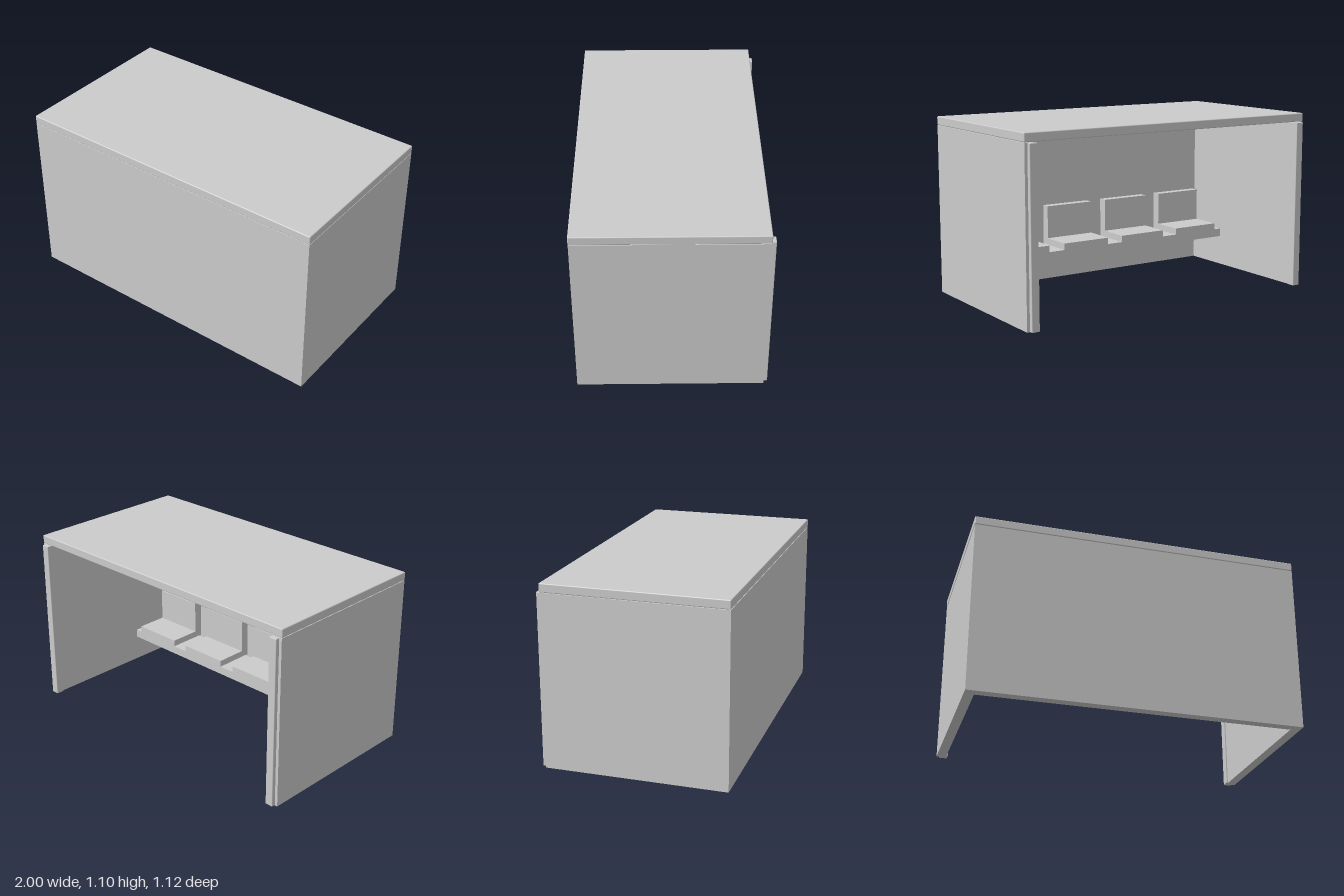
import * as THREE from 'three';
import { RoundedBoxGeometry } from 'three/addons/geometries/RoundedBoxGeometry.js';

const material = new THREE.MeshStandardMaterial({ color: 0xcccccc });

// Box given by its limits on each axis, with an optional softened edge
function box(name, [x0, x1], [y0, y1], [z0, z1], radius = 0) {
  const size = [x1 - x0, y1 - y0, z1 - z0];
  const geometry = radius
    ? new RoundedBoxGeometry(...size, 2, radius)
    : new THREE.BoxGeometry(...size);
  const mesh = new THREE.Mesh(geometry, material);
  mesh.name = name;
  mesh.position.set((x0 + x1) / 2, (y0 + y1) / 2, (z0 + z1) / 2);
  return mesh;
}

// L-shaped seat: the side profile (z, y) is extruded across the width
function seat(centre, width) {
  const profile = new THREE.Shape([
    [0.10, 0.272], [0.355, 0.272], [0.355, 0.52], [0.30, 0.52], [0.30, 0.315], [0.10, 0.315],
  ].map(([z, y]) => new THREE.Vector2(-z, y)));
  const geometry = new THREE.ExtrudeGeometry(profile, { depth: width, bevelEnabled: false });
  geometry.translate(0, 0, -width / 2);
  geometry.rotateY(Math.PI / 2); // profile -z axis becomes +z, depth becomes x
  const mesh = new THREE.Mesh(geometry, material);
  mesh.name = 'seat';
  mesh.position.x = centre;
  return mesh;
}

export function createModel() {
  const model = new THREE.Group();
  model.name = 'shelter';

  // Roof slab and closed front wall
  model.add(box('roof', [-1, 1], [1.05, 1.103], [-0.533, 0.558], 0.006));
  model.add(box('frontWall', [-0.998, 0.998], [0, 1.048], [0.5, 0.557]));

  // Side walls and the posts at the open back
  for (const side of [-1, 1]) {
    const span = (a, b) => [Math.min(side * a, side * b), Math.max(side * a, side * b)];
    const label = side > 0 ? 'left' : 'right';
    model.add(box(label + 'Wall', span(0.94, 0.998), [0, 1.048], [-0.533, 0.5]));
    model.add(box(label + 'Post', span(0.93, 0.98), [0, 1.047], [-0.557, -0.505], 0.004));
  }

  // Bench plank carrying four seats
  const bench = new THREE.Group();
  bench.name = 'bench';
  bench.add(box('benchPlank', [-0.855, 0.855], [0.222, 0.274], [0.1, 0.335]));
  for (let i = 0; i < 4; i++) bench.add(seat((i - 1.5) * 0.43, 0.325));
  model.add(bench);

  return model;
}
